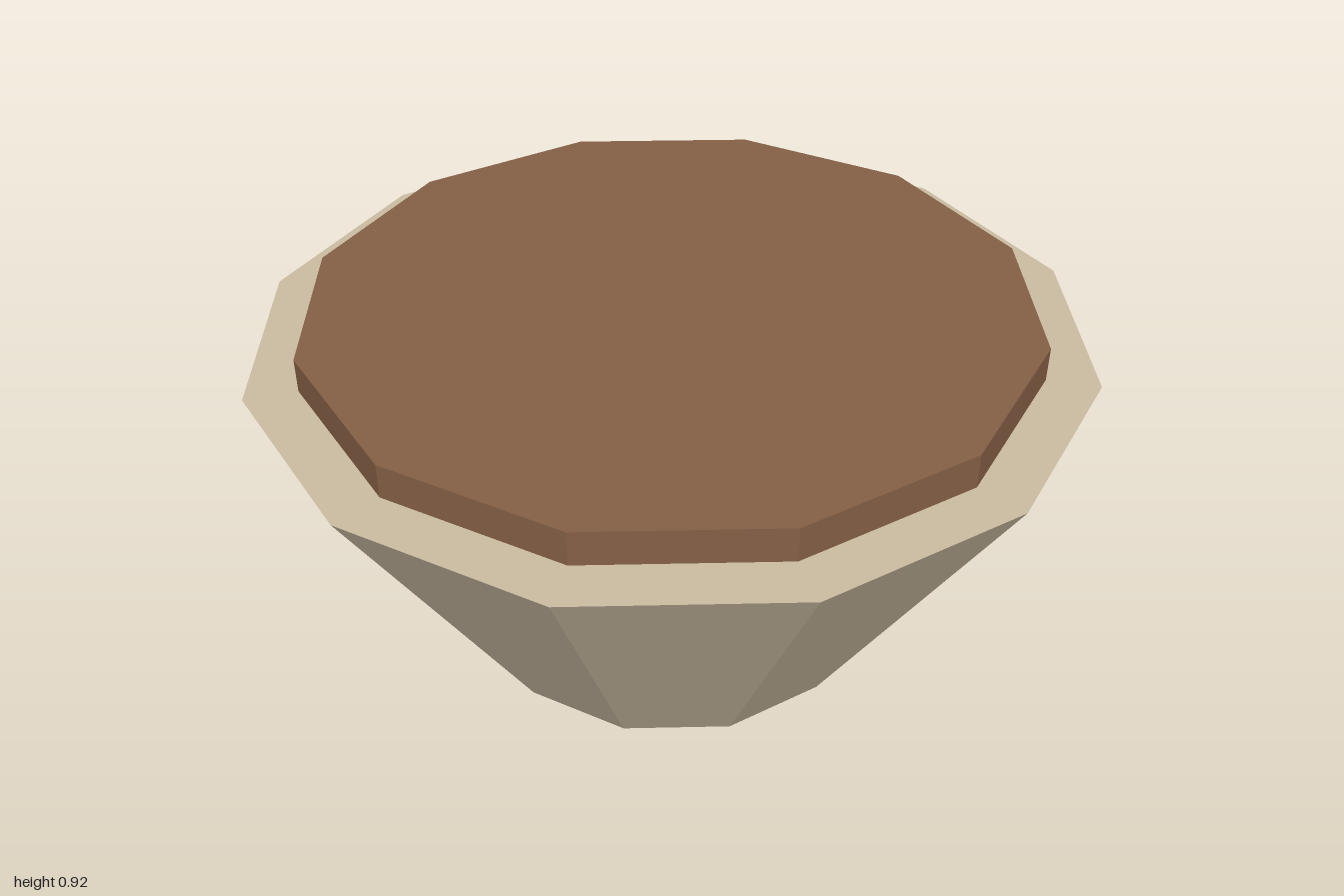
import * as THREE from 'three';

const SIDES = 12;
const POT_HEIGHT = 0.833;
const TOP = 0.917;

export function createModel() {
  const clay = new THREE.MeshStandardMaterial({ name: 'paleClay', color: 0xcbbca2, flatShading: true });
  const earth = new THREE.MeshStandardMaterial({ name: 'brownEarth', color: 0x855f45, flatShading: true });
  const model = new THREE.Group();
  model.name = 'planter';

  // Twelve-sided drum standing between two heights
  const addDrum = (name, topRadius, bottomRadius, y0, y1, material) => {
    const mesh = new THREE.Mesh(
      new THREE.CylinderGeometry(topRadius, bottomRadius, y1 - y0, SIDES), material);
    mesh.name = name;
    mesh.position.y = (y0 + y1) / 2;
    model.add(mesh);
  };

  // Tapered pot, with its flat rim showing around the soil
  addDrum('pot', 1, 0.5, 0, POT_HEIGHT, clay);
  // Raised soil disc
  addDrum('soil', 0.875, 0.875, POT_HEIGHT, TOP, earth);

  return model;
}
